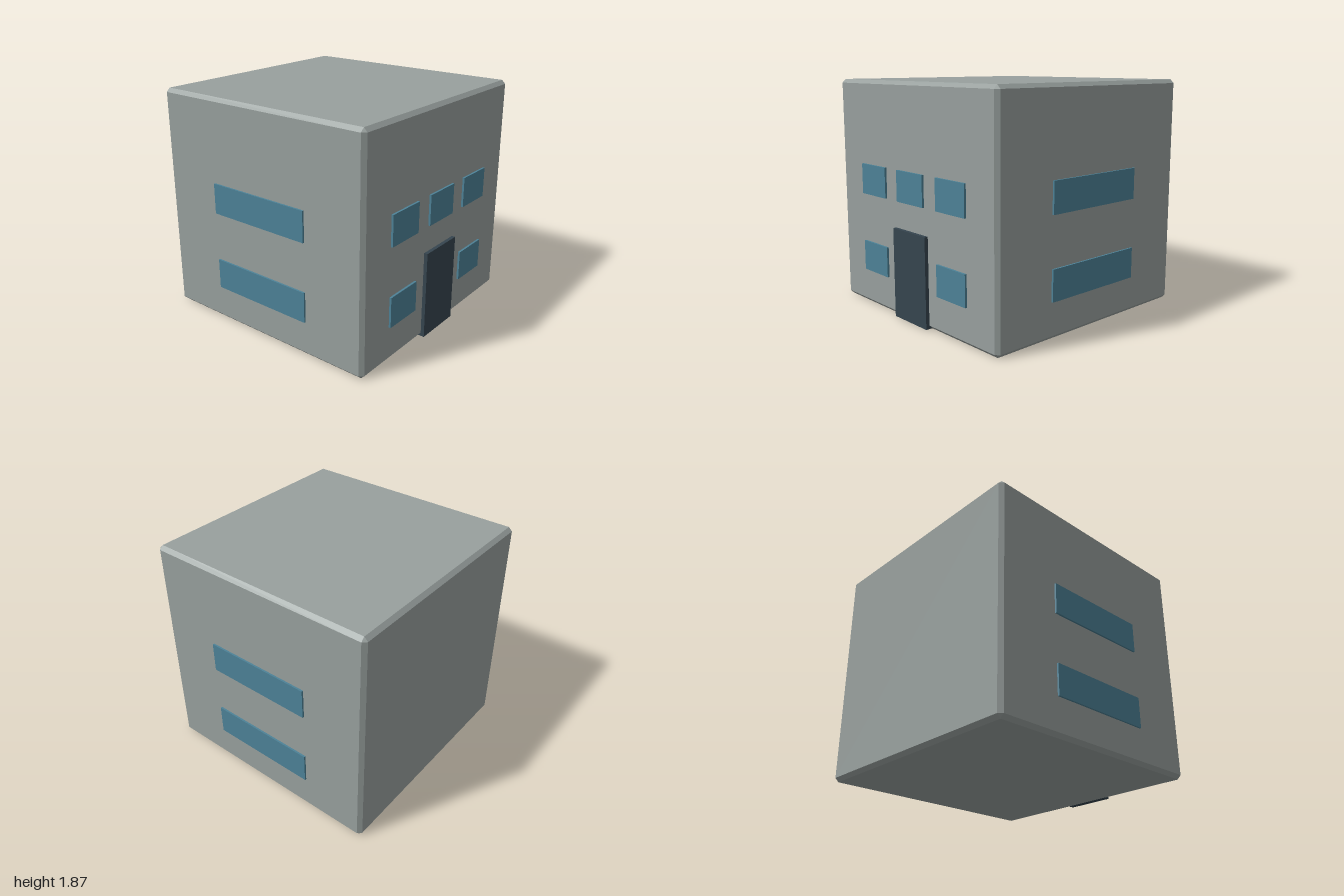
import * as THREE from 'three';
import { ConvexGeometry } from 'three/addons/geometries/ConvexGeometry.js';

// Box with every edge and corner chamfered by c
function chamferedBox(w, h, d, c) {
  const points = [];
  for (const x of [-w / 2, w / 2]) for (const y of [-h / 2, h / 2]) for (const z of [-d / 2, d / 2]) {
    const ix = x - Math.sign(x) * c, iy = y - Math.sign(y) * c, iz = z - Math.sign(z) * c;
    points.push(
      new THREE.Vector3(x, iy, iz),
      new THREE.Vector3(ix, y, iz),
      new THREE.Vector3(ix, iy, z)
    );
  }
  return new ConvexGeometry(points);
}

export function createModel() {
  const group = new THREE.Group();
  const wall = new THREE.MeshStandardMaterial({ color: 0x98a09e, flatShading: true });
  const glass = new THREE.MeshStandardMaterial({ color: 0x4d8297 });
  const wood = new THREE.MeshStandardMaterial({ color: 0x36454f });

  const add = (name, geometry, material, x, y, z) => {
    const mesh = new THREE.Mesh(geometry, material);
    mesh.name = name;
    mesh.position.set(x, y, z);
    group.add(mesh);
  };

  // Main block of the building
  add('buildingBody', chamferedBox(1.97, 1.87, 1.97, 0.03), wall, 0, 0.935, -0.015);

  // Front door
  add('frontDoor', new THREE.BoxGeometry(0.414, 0.725, 0.06), wood, 0, 0.3645, 0.97);

  // Windows on two floors; the door takes the middle place below
  const frontPane = new THREE.BoxGeometry(0.334, 0.248, 0.04);
  const sidePane = new THREE.BoxGeometry(0.04, 0.248, 0.91);
  const floors = [['lower', 0.417, [-0.494, 0.494]], ['upper', 1.066, [-0.494, 0, 0.494]]];
  for (const [floor, y, columns] of floors) {
    for (const x of columns) add(floor + 'FrontWindow', frontPane, glass, x, y, 0.967);
    for (const side of [-1, 1]) {
      add(floor + (side > 0 ? 'Left' : 'Right') + 'Window', sidePane, glass, side * 0.98, y, -0.012);
    }
  }
  return group;
}
